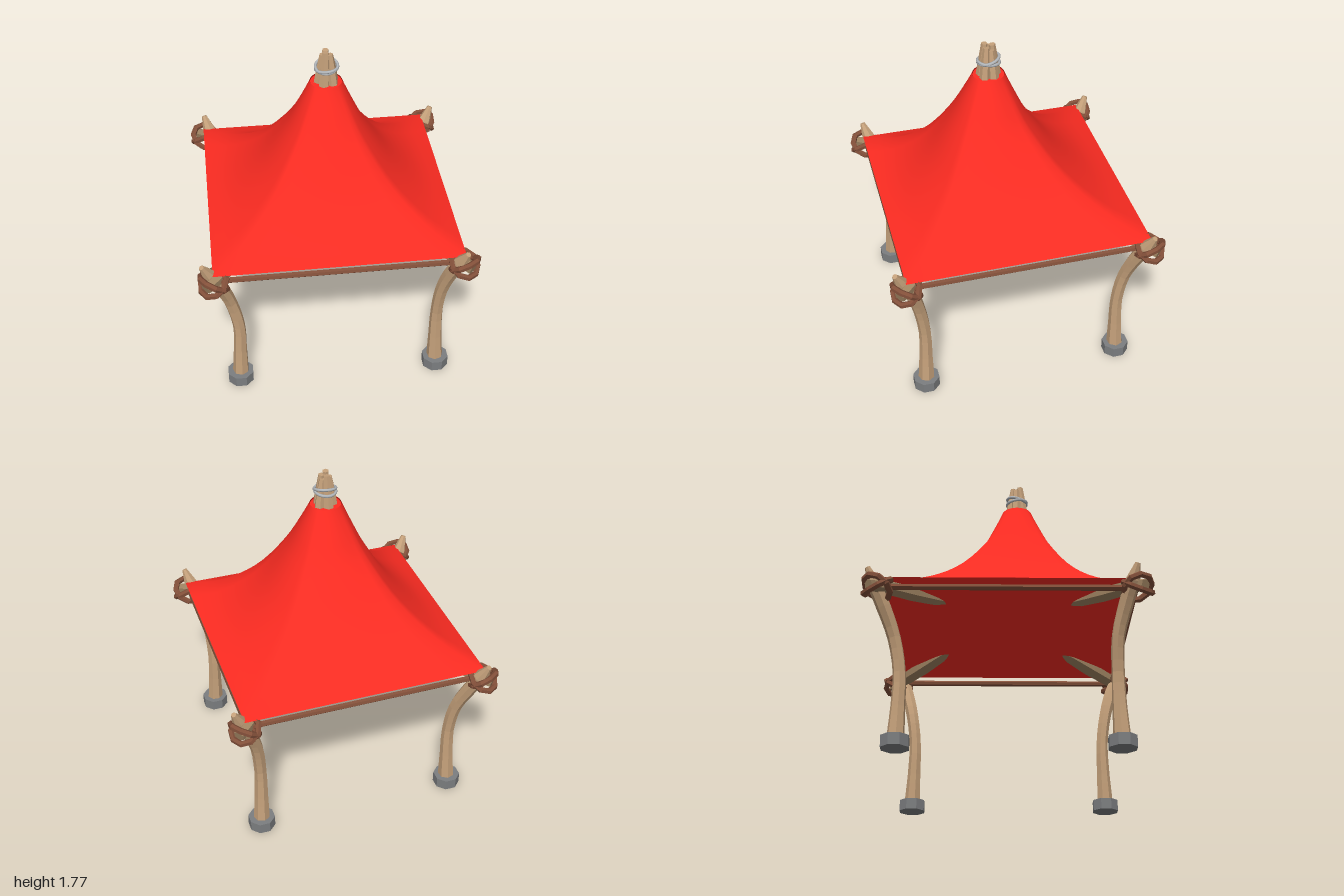
import * as THREE from 'three';
import { mergeVertices } from 'three/addons/utils/BufferGeometryUtils.js';

const wood = new THREE.MeshStandardMaterial({ color: 0xc4a07a, flatShading: true });
const darkWood = new THREE.MeshStandardMaterial({ color: 0xa08462, flatShading: true });
const rope = new THREE.MeshStandardMaterial({ color: 0x83503a, flatShading: true });
const stone = new THREE.MeshStandardMaterial({ color: 0x7c7e80, flatShading: true });
const wire = new THREE.MeshStandardMaterial({ color: 0xb4b8bc });
const cloth = new THREE.MeshStandardMaterial({ color: 0xff2c22, side: THREE.DoubleSide });

const V = (x, y, z) => new THREE.Vector3(x, y, z);

function add(parent, name, geometry, material) {
  const mesh = new THREE.Mesh(geometry, material);
  mesh.name = name;
  parent.add(mesh);
  return mesh;
}

// Tapered branch: a cylinder bent along stations of [x, y, z, radius]
function branch(stations, sides = 7, steps = 10) {
  const curve = new THREE.CatmullRomCurve3(stations.map((s) => V(s[0], s[1], s[2])));
  const geo = new THREE.CylinderGeometry(1, 1, 1, sides, steps);
  const pos = geo.attributes.position;
  const last = stations.length - 1;
  for (let i = 0; i < pos.count; i++) {
    const t = THREE.MathUtils.clamp(pos.getY(i) + 0.5, 0, 1);
    const k = Math.min(Math.floor(t * last), last - 1);
    const r = THREE.MathUtils.lerp(stations[k][3], stations[k + 1][3], t * last - k);
    const turn = new THREE.Quaternion().setFromUnitVectors(V(0, 1, 0), curve.getTangent(t));
    const p = V(pos.getX(i) * r, 0, pos.getZ(i) * r).applyQuaternion(turn).add(curve.getPoint(t));
    pos.setXYZ(i, p.x, p.y, p.z);
  }
  geo.computeVertexNormals();
  return geo;
}

// Sagging cloth: a lathe whose round neck spreads into a square hem
function canopyGeometry() {
  const profile = new THREE.SplineCurve([
    [0.92, 0.86], [0.73, 0.92], [0.55, 1.016], [0.39, 1.145], [0.24, 1.325], [0.155, 1.465], [0.083, 1.6],
  ].map(([r, y]) => new THREE.Vector2(r, y))).getPoints(18);
  const geo = new THREE.LatheGeometry(profile, 48);
  const pos = geo.attributes.position;
  for (let i = 0; i < pos.count; i++) {
    const x = pos.getX(i), z = pos.getZ(i), r = Math.hypot(x, z);
    const spread = THREE.MathUtils.clamp((r - 0.083) / 0.837, 0, 1);
    const square = r / (Math.abs(x) + Math.abs(z));
    const s = THREE.MathUtils.lerp(1, square, Math.sqrt(spread));
    const lean = Math.min(1, (1 - spread) * 1.2);
    pos.setX(i, x * s - 0.045 * lean);
    pos.setZ(i, z * s + 0.035 * lean);
  }
  geo.deleteAttribute('uv');
  geo.deleteAttribute('normal');
  const merged = mergeVertices(geo, 1e-4);
  merged.computeVertexNormals();
  return merged;
}

// One corner, built on the +z side and turned by angle
function createCorner(angle) {
  const corner = new THREE.Group();
  corner.rotation.y = angle;

  // All feet stand slightly towards the front
  const dx = -0.008 - 0.013 * Math.sin(angle);
  const dz = 0.013 * Math.cos(angle);

  const foot = add(corner, 'footStone', new THREE.CylinderGeometry(0.073, 0.073, 0.06, 8), stone);
  foot.position.set(dx, 0.038, 0.767 + dz);
  foot.rotation.y = Math.PI / 8;

  add(corner, 'leg', branch([
    [dx, 0.05, 0.765 + dz, 0.045], [dx, 0.22, 0.758 + dz, 0.037], [dx, 0.4, 0.757 + dz, 0.033],
    [-0.018, 0.58, 0.787 + dz * 0.7, 0.034], [-0.026, 0.73, 0.848, 0.038], [-0.036, 0.84, 0.907, 0.038],
    [-0.043, 0.92, 0.95, 0.014],
  ], 7, 18), wood);

  // Brace reaching in under the cloth
  add(corner, 'brace', branch([
    [-0.01, 0.805, 0.965, 0.03], [-0.006, 0.825, 0.88, 0.038], [0, 0.85, 0.7, 0.042],
    [0.005, 0.874, 0.54, 0.036], [0.008, 0.89, 0.44, 0.012],
  ], 6, 8), darkWood);

  // Crossed rope rings binding leg and brace
  [-1, 1].forEach((side) => {
    const ring = add(corner, 'lashing', new THREE.TorusGeometry(0.076, 0.017, 6, 9), rope);
    ring.position.set(-0.006, 0.81, 0.912);
    ring.rotation.set(Math.PI / 2 + side * 0.62, side * 0.1, 0);
  });

  add(corner, 'edgeRail', branch([[0, 0.815, 0.895, 0.016], [0.895, 0.815, 0, 0.016]], 6, 1), rope);
  return corner;
}

export function createModel() {
  const model = new THREE.Group();
  model.name = 'canopyTent';

  add(model, 'canopy', canopyGeometry(), cloth);

  // Nearly flat cloth closing the underside
  const lining = add(model, 'lining', new THREE.ConeGeometry(0.915, 0.015, 4, 1, true), cloth);
  lining.position.y = 0.869;

  // Cloth closing the neck around the poles
  const collar = add(model, 'collar', new THREE.CircleGeometry(0.081, 24), cloth);
  collar.position.set(-0.045, 1.594, 0.035);
  collar.rotation.x = -Math.PI / 2;

  ['front', 'left', 'back', 'right'].forEach((name, i) => {
    const corner = createCorner(i * Math.PI / 2);
    corner.name = name + 'Corner';
    model.add(corner);
  });

  // Bundle of pole ends at the peak, tied with wire
  const peak = new THREE.Group();
  peak.name = 'peak';
  peak.position.set(-0.043, 0, 0.037);
  model.add(peak);
  for (let i = 0; i < 5; i++) {
    const a = i * Math.PI * 0.4 + 0.3;
    const c = Math.cos(a), s = Math.sin(a);
    const top = 1.745 + 0.03 * ((i * 2) % 5) / 4;
    add(peak, 'poleEnd', branch([
      [c * 0.042, 1.56, s * 0.042, 0.03], [c * 0.031, 1.66, s * 0.031, 0.025], [c * 0.02, top, s * 0.02, 0.017],
    ], 6, 4), wood);
  }
  [-1, 1].forEach((side) => {
    const tie = add(peak, 'wireTie', new THREE.TorusGeometry(0.057, 0.008, 6, 18), wire);
    tie.position.y = 1.68 + side * 0.006;
    tie.rotation.set(Math.PI / 2 + side * 0.15, 0.1 + side * 0.14, 0);
  });

  return model;
}
